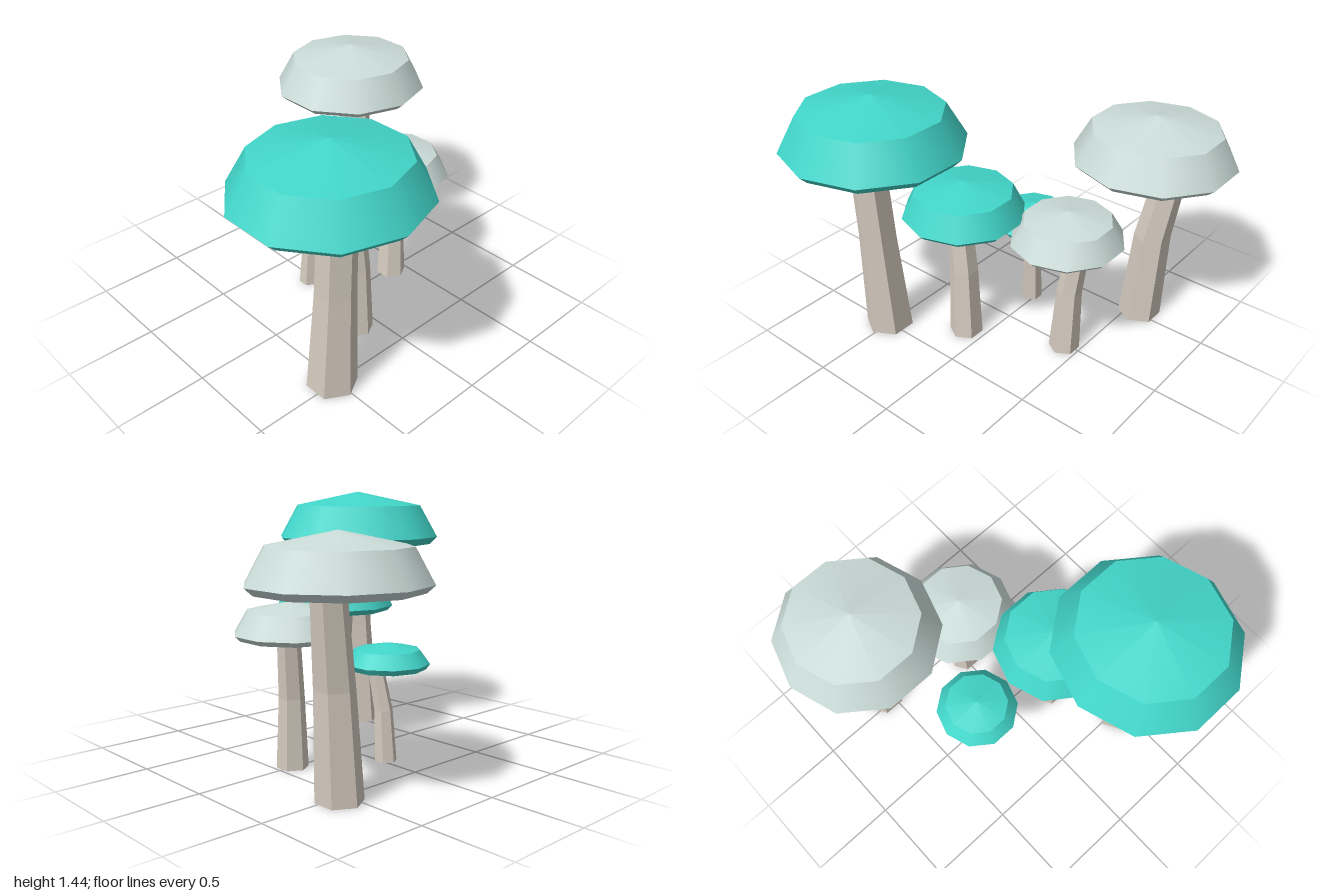
import * as THREE from 'three';
import { mergeGeometries } from 'three/addons/utils/BufferGeometryUtils.js';

// x, z: position; rx, rz: cap radii at its widest; ring: radius of the upper cap edge; lip: radius of the underside
// y: heights of underside, widest edge, upper edge, apex
// stem: [centre x, centre z, radius] at the ground, at the bend and where it meets the cap
const MUSHROOMS = [
  { name: 'tallTealMushroom', cap: 'teal', x: 0.478, z: 0.514, rx: 0.488, rz: 0.503, ring: 0.382, lip: 0.445,
    y: [1.122, 1.166, 1.358, 1.44], stem: [[0.482, 0.513, 0.137], [0.513, 0.515, 0.108], [0.538, 0.519, 0.1]] },
  { name: 'middleTealMushroom', cap: 'teal', x: 0.245, z: 0.11, rx: 0.335, rz: 0.335, ring: 0.27, lip: 0.305,
    y: [0.773, 0.802, 0.933, 0.985], stem: [[0.25, 0.116, 0.095], [0.246, 0.124, 0.08], [0.24, 0.156, 0.07]] },
  { name: 'smallTealMushroom', cap: 'teal', x: -0.259, z: 0.032, rx: 0.228, rz: 0.232, ring: 0.174, lip: 0.207,
    y: [0.514, 0.544, 0.617, 0.653], stem: [[-0.256, 0.03, 0.06], [-0.243, 0.022, 0.051], [-0.205, 0.0, 0.044]] },
  { name: 'tallPaleMushroom', cap: 'pale', x: -0.533, z: -0.567, rx: 0.438, rz: 0.453, ring: 0.346, lip: 0.398,
    y: [1.0, 1.037, 1.208, 1.281], stem: [[-0.536, -0.565, 0.122], [-0.542, -0.6, 0.102], [-0.58, -0.669, 0.087]] },
  { name: 'smallPaleMushroom', cap: 'pale', x: 0.01, z: -0.403, rx: 0.312, rz: 0.306, ring: 0.242, lip: 0.283,
    y: [0.695, 0.722, 0.84, 0.888], stem: [[0.008, -0.408, 0.086], [-0.005, -0.42, 0.069], [-0.03, -0.455, 0.062]] },
];

// Ten-sided cap: each band is its own lathe, smooth around and sharp between bands
function capGeometry(m) {
  const [low, wide, edge, apex] = m.y;
  const profile = [[0, low], [m.lip, low], [m.rx, wide], [m.ring, edge], [0, apex]]
    .map(([r, y]) => new THREE.Vector2(r, y));
  const bands = [];
  for (let i = 0; i < profile.length - 1; i++) {
    bands.push(new THREE.LatheGeometry([profile[i], profile[i + 1]], 10, Math.PI / 2));
  }
  return mergeGeometries(bands).scale(1, 1, m.rz / m.rx).translate(m.x, 0, m.z);
}

// Six-sided stem with one bend, running on a little way into the cap
function stemGeometry(m) {
  const height = m.y[0] * 1.1;
  const [base, bend, meet] = m.stem;
  const top = meet.map((v, i) => bend[i] + (v - bend[i]) * 1.22);
  const levels = [base, bend, top];
  const geometry = new THREE.CylinderGeometry(1, 1, 2, 6, 2, false, Math.PI / 2);
  const p = geometry.attributes.position;
  for (let i = 0; i < p.count; i++) {
    const level = Math.round(p.getY(i) + 1);
    const [cx, cz, r] = levels[level];
    p.setXYZ(i, cx + p.getX(i) * r, level * height / 2, cz + p.getZ(i) * r);
  }
  // Faceted normals
  const faceted = geometry.toNonIndexed();
  faceted.computeVertexNormals();
  return faceted;
}

export function createModel() {
  const flat = (name, color) => {
    const material = new THREE.MeshStandardMaterial({ color });
    material.name = name;
    return material;
  };
  const capMaterials = { teal: flat('teal cap', 0x42d6ca), pale: flat('pale cap', 0xcbdcd8) };
  const stemMaterial = flat('stem', 0xd6ccc0);

  const model = new THREE.Group();
  model.name = 'mushroomCluster';
  for (const m of MUSHROOMS) {
    const mushroom = new THREE.Group();
    mushroom.name = m.name;
    const cap = new THREE.Mesh(capGeometry(m), capMaterials[m.cap]);
    cap.name = 'cap';
    const stem = new THREE.Mesh(stemGeometry(m), stemMaterial);
    stem.name = 'stem';
    mushroom.add(cap, stem);
    model.add(mushroom);
  }
  return model;
}
